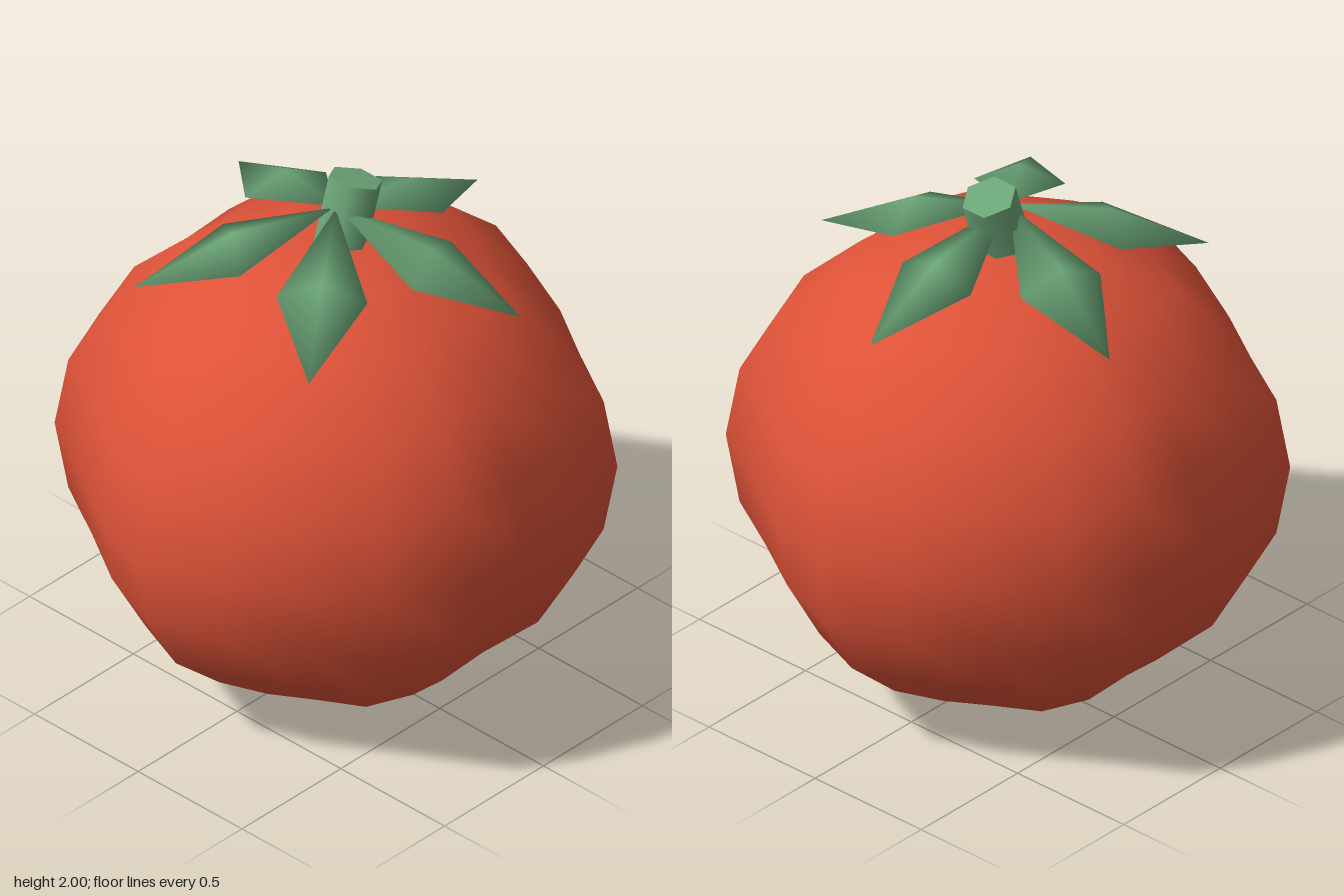
import * as THREE from 'three';

const red = new THREE.MeshStandardMaterial({ color: 0xdd5238 });
const green = new THREE.MeshStandardMaterial({ color: 0x6ca678 });

// Squashed sphere with six soft lobes around the vertical axis
function fruitGeometry() {
  const geo = new THREE.SphereGeometry(1, 20, 10);
  const pos = geo.attributes.position;
  for (let i = 0; i < pos.count; i++) {
    const x = pos.getX(i), z = pos.getZ(i);
    const lobe = 0.95 + 0.05 * Math.cos(6 * Math.atan2(z, x));
    pos.setXYZ(i, x * lobe, pos.getY(i) * 0.885, z * lobe);
  }
  return geo;
}

// Drooping diamond leaf pointing along +x, with a raised middle
function leafGeometry() {
  const points = [
    0.01, 1.9, 0, 0.37, 1.765, 0.16, 0.715, 1.65, 0, 0.37, 1.765, -0.16, // rim
    0.37, 1.835, 0, 0.36, 1.77, 0, // upper and lower middle
  ];
  const faces = [];
  for (let i = 0; i < 4; i++) {
    const j = (i + 1) % 4;
    faces.push(i, j, 4, j, i, 5);
  }
  const geo = new THREE.BufferGeometry();
  geo.setAttribute('position', new THREE.Float32BufferAttribute(points, 3));
  geo.setIndex(faces);
  geo.computeVertexNormals();
  return geo;
}

export function createModel() {
  const model = new THREE.Group();
  model.name = 'tomato';
  const add = (name, geo, material) => {
    const mesh = new THREE.Mesh(geo, material);
    mesh.name = name;
    model.add(mesh);
    return mesh;
  };

  add('fruit', fruitGeometry(), red).position.y = 0.885;

  // Leaves in an even ring
  const leaf = leafGeometry();
  for (let i = 0; i < 5; i++) {
    add('leaf' + (i + 1), leaf, green).rotation.y = (i * Math.PI * 2) / 5;
  }

  // Tilted six-sided stem
  const stem = add('stem', new THREE.CylinderGeometry(0.1, 0.1, 0.27, 6), green);
  stem.position.set(0.057, 1.846, 0);
  stem.rotation.z = -0.31;

  return model;
}
